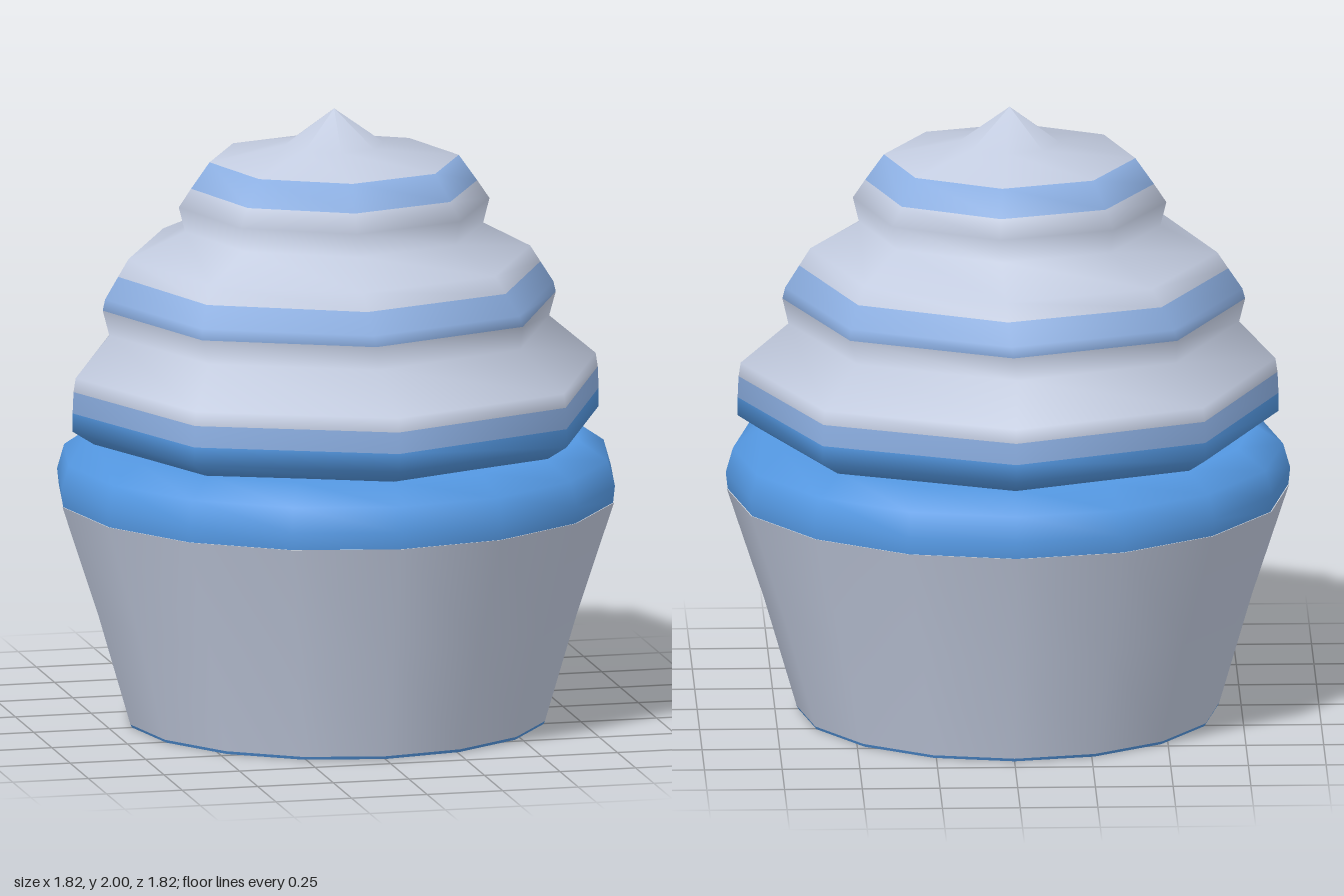
import * as THREE from 'three';

const flat = (name, color) => {
  const m = new THREE.MeshStandardMaterial({ color });
  m.name = name;
  return m;
};

// Turned part from [radius, height] pairs listed bottom to top
const turned = (profile, sides) =>
  new THREE.LatheGeometry(profile.map(([r, y]) => new THREE.Vector2(r, y)), sides);

export function createModel() {
  const pale = flat('pale cream', 0xc3cce0);
  const mid = flat('light blue', 0x8cafe2);
  const blue = flat('blue', 0x5498e2);

  const group = new THREE.Group();
  group.name = 'cupcake';
  const add = (name, geometry, material) => {
    const mesh = new THREE.Mesh(geometry, material);
    mesh.name = name;
    group.add(mesh);
    return mesh;
  };

  // Paper cup and its base
  add('cup', turned([[0.68, 0.01], [0.785, 0.37], [0.905, 0.735]], 16), pale);
  const base = new THREE.CircleGeometry(0.68, 16);
  base.rotateX(Math.PI / 2);
  add('cupBase', base, blue).position.y = 0.005;
  add('baseEdge', turned([[0.675, 0], [0.68, 0.01]], 16), blue);

  // Cake bulging over the cup
  add('cake', turned([[0.902, 0.735], [0.908, 0.79], [0.885, 0.87], [0.79, 0.935], [0, 0.95]], 16), blue);

  // Frosting rows: radius, height, colour index of the strip above (0 pale, 1 light blue, 2 blue)
  const rows = [
    [0.5, 0.93, 2], [0.8, 0.935, 2], [0.87, 0.98, 2], [0.87, 1.04, 1], [0.867, 1.11, 0],
    [0.86, 1.155, 0], [0.725, 1.285, 0], [0.744, 1.365, 1], [0.735, 1.4, 1], [0.69, 1.47, 0],
    [0.655, 1.525, 0], [0.485, 1.61, 0], [0.505, 1.69, 0], [0.465, 1.75, 1], [0.405, 1.835, 0],
    [0.16, 1.885, 0], [0, 2, 0],
  ];
  const sides = 8;
  const frosting = turned(rows, sides);

  // Each upper tier twists a little and the middle one leans
  const pos = frosting.attributes.position;
  const v = new THREE.Vector3();
  const up = new THREE.Vector3(0, 1, 0);
  for (let i = 0; i < pos.count; i++) {
    v.fromBufferAttribute(pos, i);
    const y = v.y;
    v.applyAxisAngle(up, -0.09 * THREE.MathUtils.smoothstep(y, 1.15, 1.69));
    const lean = y > 1.2 && y < 1.58 ? -0.018 : -0.005;
    pos.setXYZ(i, v.x + (y < 1.2 ? 0 : lean), y, v.z + lean);
  }

  // Colour strips
  const strips = rows.length - 1;
  for (let s = 0; s < sides; s++) {
    for (let j = 0; j < strips; j++) {
      frosting.addGroup((s * strips + j) * 6, 6, rows[j][2]);
    }
  }
  add('frosting', frosting, [pale, mid, blue]);

  return group;
}
